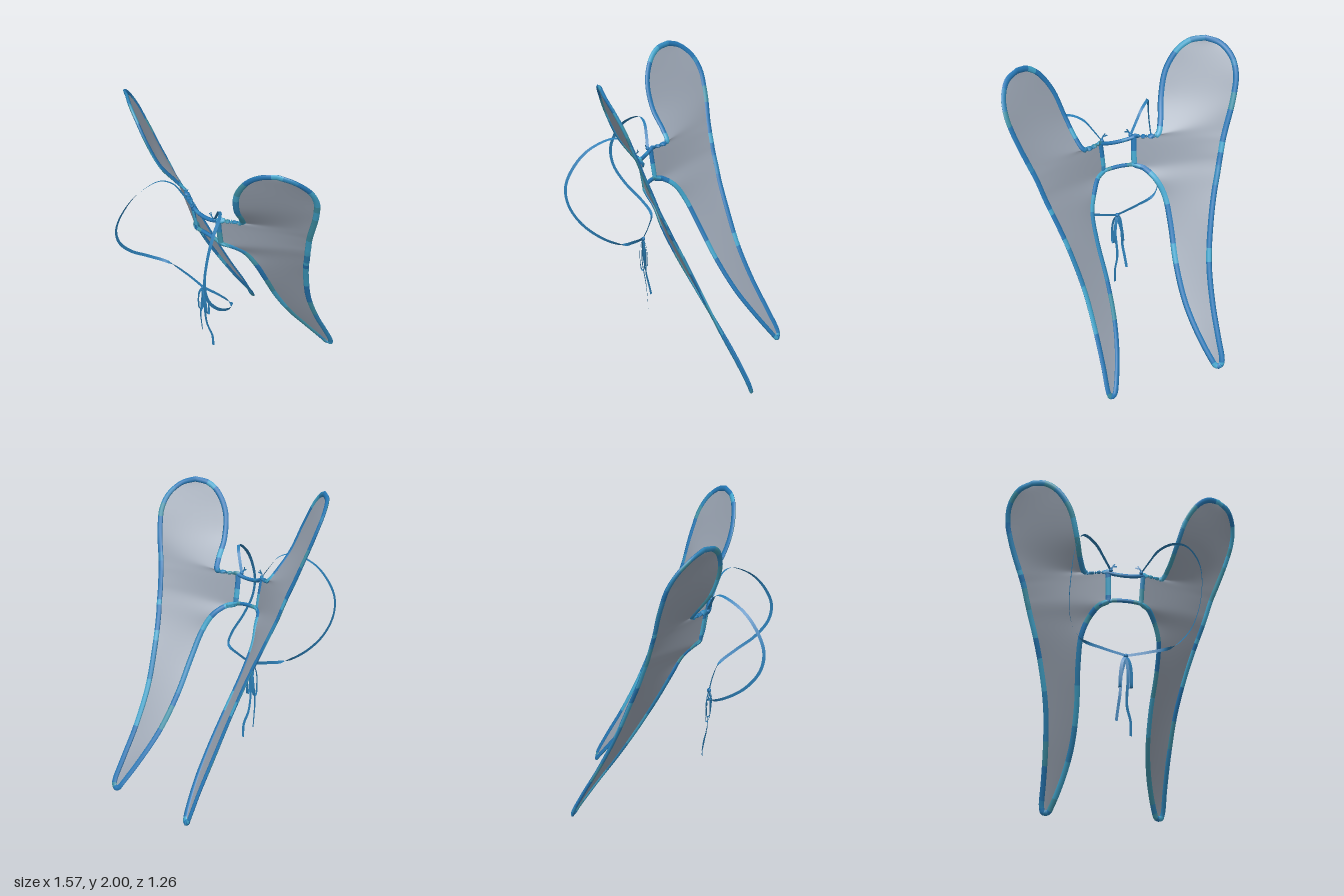
import * as THREE from 'three';

const V = (x, y, z) => new THREE.Vector3(x, y, z);

// Rows from the lower tip to the top of the lobe: inner edge xyz, outer edge xyz
const ROWS = [
  [.379, .018, -.605, .379, .018, -.605],
  [.362, .023, -.597, .396, .023, -.605],
  [.345, .055, -.577, .407, .055, -.598],
  [.288, .22, -.46, .408, .20, -.525],
  [.252, .40, -.33, .413, .40, -.415],
  [.245, .62, -.19, .435, .65, -.295],
  [.26, .85, -.06, .488, .90, -.195],
  [.255, 1.02, .03, .54, 1.08, -.125],
  [.215, 1.125, .09, .57, 1.17, -.095],
  [.16, 1.183, .16, .588, 1.225, -.075],
  [.11, 1.20, .194, .60, 1.265, -.062],
  [.108, 1.22, .197, .61, 1.30, -.053],
  [.115, 1.375, .222, .63, 1.37, -.033],
  [.118, 1.393, .224, .64, 1.40, -.025],
  [.19, 1.40, .185, .657, 1.445, -.012],
  [.255, 1.412, .158, .68, 1.505, .002],
  [.293, 1.48, .20, .71, 1.585, .02],
  [.33, 1.60, .28, .74, 1.675, .045],
  [.385, 1.77, .335, .765, 1.78, .08],
  [.47, 1.90, .338, .76, 1.88, .14],
  [.55, 1.96, .315, .71, 1.953, .215],
  [.63, 1.98, .27, .63, 1.98, .27],
];

export function createModel() {
  const mat = (name, color, side = THREE.FrontSide) => {
    const m = new THREE.MeshStandardMaterial({ color, side });
    m.name = name;
    return m;
  };
  const membraneGrey = mat('membrane grey', 0x98a2b0, THREE.DoubleSide);
  const blue = mat('trim blue', 0x2678b6);
  const cyan = mat('trim cyan', 0x42a6cd);
  const seaGreen = mat('trim sea green', 0x4094aa);
  const skyBlue = mat('trim sky blue', 0x3088bc);
  const cordBlue = mat('cord blue', 0x2c7db4, THREE.DoubleSide);
  const trim = [blue, cyan, seaGreen, skyBlue];

  const root = new THREE.Group();
  root.name = 'wings';
  const add = (parent, name, geo, material) => {
    const m = new THREE.Mesh(geo, material);
    m.name = name;
    parent.add(m);
    return m;
  };

  let seed = 7;
  const rand = () => (seed = (seed * 16807) % 2147483647) / 2147483647;

  // Mottled bands along a tube: each of its faces takes a random run of colours
  function mottle(geo, segs, radial, faces) {
    for (const { start, count, shares } of faces)
      for (let i = 0; i < segs;) {
        const n = Math.min(segs - i, 2 + Math.floor(rand() * 6));
        const r = rand();
        const pick = shares.findIndex((limit) => r <= limit);
        for (let k = i; k < i + n; k++) geo.addGroup((k * radial + start) * 6, count * 6, pick);
        i += n;
      }
    return geo;
  }
  const BACK = [.62, .84, .9, 1], FRONT = [.22, .44, .72, 1];

  // Grid surface from rows of points
  function surface(rows) {
    const cols = rows[0].length, index = [];
    for (let i = 0; i < rows.length - 1; i++)
      for (let j = 0; j < cols - 1; j++) {
        const a = i * cols + j, b = a + cols;
        index.push(a, a + 1, b, b, a + 1, b + 1);
      }
    const geo = new THREE.BufferGeometry().setFromPoints(rows.flat());
    geo.setIndex(index);
    geo.computeVertexNormals();
    return geo;
  }

  // Flattened band around a closed loop; the first half of each ring faces forward
  function flatRim(points, normals, width, thickness) {
    const n = points.length, radial = 8;
    const rings = points.map((p, i) => {
      const across = points[(i + 1) % n].clone().sub(points[(i + n - 1) % n]).cross(normals[i]).normalize();
      return Array.from({ length: radial + 1 }, (_, j) => {
        const a = (j / radial) * Math.PI * 2 - Math.PI / 2;
        return p.clone()
          .addScaledVector(normals[i], Math.cos(a) * thickness / 2)
          .addScaledVector(across, Math.sin(a) * width / 2);
      });
    });
    return mottle(surface([...rings, rings[0]]), n, radial,
      [{ start: 0, count: 4, shares: FRONT }, { start: 4, count: 4, shares: BACK }]);
  }

  // Flat ribbon whose facing turns through the given normals
  function ribbon(points, normals, width, segs) {
    const path = new THREE.CatmullRomCurve3(points);
    const facing = new THREE.CatmullRomCurve3(normals);
    const rows = [];
    for (let i = 0; i <= segs; i++) {
      const p = path.getPoint(i / segs);
      const w = path.getTangent(i / segs).cross(facing.getPoint(i / segs)).setLength(width / 2);
      rows.push([p.clone().sub(w), p.clone().add(w)]);
    }
    return surface(rows);
  }

  for (const s of [1, -1]) {
    const side = new THREE.Group();
    side.name = s > 0 ? 'leftWing' : 'rightWing';
    root.add(side);

    // Membrane stretched between the inner and outer edges, then relaxed to remove folds
    const N = 126, C = 8;
    const edge = (k) => new THREE.CatmullRomCurve3(
      ROWS.map((r) => V(s * r[k], r[k + 1], r[k + 2]))).getPoints(N);
    const inner = edge(0), outer = edge(3);
    let rows = inner.map((p, i) =>
      Array.from({ length: C + 1 }, (_, j) => p.clone().lerp(outer[i], j / C)));
    for (let pass = 0; pass < 70; pass++)
      rows = rows.map((row, i) => row.map((p, j) => (i % N && j % C
        ? V().add(rows[i - 1][j]).add(rows[i + 1][j]).add(row[j - 1]).add(row[j + 1]).multiplyScalar(.25)
        : p)));
    const skin = surface(rows);
    add(side, 'membrane', skin, membraneGrey);

    // Flat wrapped rim around the whole outline
    const ids = [];
    for (let i = 0; i <= N; i++) ids.push([i, 0]);
    for (let i = N - 1; i > 0; i--) ids.push([i, C]);
    const normals = ids.map(([i, j]) => {
      const n = V().fromBufferAttribute(skin.attributes.normal,
        Math.min(N - 1, Math.max(1, i)) * (C + 1) + j);
      return n.z < 0 ? n.negate() : n;
    });
    add(side, 'rim', flatRim(ids.map(([i, j]) => rows[i][j]), normals, .037, .021), trim);

    // Shoulder strap looping forward and down to the bow
    const strap = [
      [.10, 1.40, .24], [.15, 1.475, .265], [.20, 1.54, .295], [.26, 1.562, .35],
      [.325, 1.50, .475], [.365, 1.40, .56], [.395, 1.27, .612], [.405, 1.15, .595],
      [.402, 1.03, .51], [.37, .935, .385], [.29, .872, .285], [.15, .837, .255], [0, .803, .245],
    ].map(([x, y, z]) => V(s * x, y, z));
    add(side, 'shoulderStrap', ribbon(strap,
      [V(s * .2, 1, .1), V(s * .5, .8, .2), V(s, .1, .1), V(s, 0, .2), V(s * .3, .3, 1)], .02, 78), cordBlue);

    // Knot and short loose ends where the strap meets the frame
    const knot = add(side, 'strapKnot', new THREE.SphereGeometry(.013, 10, 8), blue);
    knot.position.set(s * .10, 1.40, .24);
    for (const [x, y] of [[.06, 1.43], [.075, 1.445]])
      add(side, 'strapEnd', ribbon(
        [V(s * .10, 1.40, .245), V(s * .09, 1.42, .25), V(s * x, y, .245)], [V(0, 0, 1), V(0, 0, 1)], .01, 8), cordBlue);

    // Bow loop hanging below the strap
    const bow = [
      [0, .803, .245], [.022, .76, .258], [.034, .68, .258], [.036, .595, .245],
      [.034, .59, .232], [.026, .68, .226], [.014, .76, .235], [0, .803, .245],
    ].map(([x, y, z]) => V(s * x - .006, y, z));
    add(side, 'bowLoop', ribbon(bow, [V(s * .5, 0, 1), V(s * .3, 0, 1), V(0, -1, 0), V(s * .3, 0, -1), V(s * .5, 0, -1)], .02, 40), cordBlue);

    // Trailing end of the bow
    const tail = s > 0
      ? [V(0, .80, .245), V(.008, .66, .25), V(.005, .48, .225), V(.032, .38, .205), V(.034, .29, .20)]
      : [V(0, .80, .245), V(-.03, .68, .235), V(-.04, .55, .24), V(-.05, .46, .225), V(-.058, .38, .21)];
    add(side, 'bowTail', ribbon(tail, [V(0, 0, 1), V(s * .4, 0, 1)], .018, 30), cordBlue);
  }

  // Two bars joining the wings
  const bar = (pts, segs) => {
    const path = new THREE.CatmullRomCurve3([
      ...pts.map(([x, y, z]) => V(-x, y, z)),
      ...pts.slice(0, -1).reverse().map(([x, y, z]) => V(x, y, z)),
    ]);
    return mottle(new THREE.TubeGeometry(path, segs, .013, 8), segs, 8, [{ start: 0, count: 8, shares: BACK }]);
  };
  add(root, 'upperBar', bar([[.118, 1.39, .224], [.06, 1.375, .235], [0, 1.37, .238]], 28), trim);
  add(root, 'lowerBar', bar([[.16, 1.183, .16], [.11, 1.2, .192], [.05, 1.208, .197], [0, 1.21, .198]], 32), trim);

  // Knot at the centre of the bow
  const bowKnot = add(root, 'bowKnot', new THREE.SphereGeometry(.014, 10, 8), blue);
  bowKnot.position.set(-.004, .802, .245);

  root.rotation.y = -.025;
  const group = new THREE.Group();
  group.name = 'wearableWings';
  group.add(root);
  return group;
}
